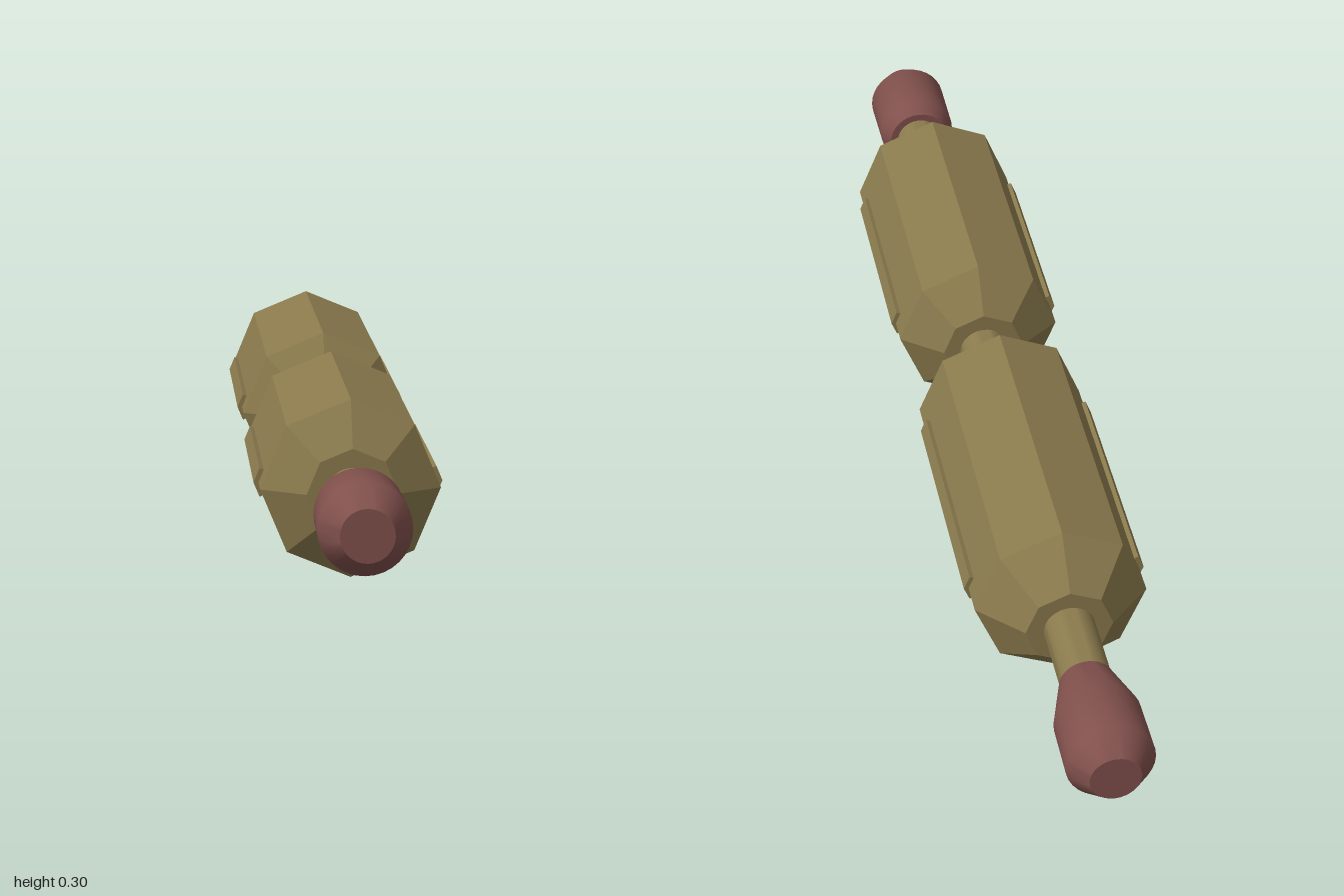
import * as THREE from 'three';
import { toCreasedNormals } from 'three/addons/utils/BufferGeometryUtils.js';

const AXIS_Y = 0.16;   // height of the long axis
const R = 0.142;       // corner radius of the octagonal bodies
const C = Math.SQRT1_2;

// Turned shape along z from [z, radius] pairs, z rising
function turned(profile, sides, crease) {
  const pts = profile.map(([z, r]) => new THREE.Vector2(r, z));
  const geo = new THREE.LatheGeometry(pts, sides).rotateX(Math.PI / 2);
  return toCreasedNormals(geo, crease);
}

// V-shaped strip that wraps the corner pointing along +x, running from z0 to z1
function cornerStrip(z0, z1, inner, outer, halfWidth) {
  const dx = (R - R * C) / (R * C); // slope of the faces beside a corner
  const at = (r, h) => new THREE.Vector2(r - Math.abs(h) * dx, h);
  const lip = (outer - inner) * 0.35;
  const shape = new THREE.Shape([
    at(inner, -halfWidth), at(outer, -halfWidth - lip), at(outer, 0),
    at(outer, halfWidth + lip), at(inner, halfWidth), at(inner, 0),
  ]);
  const geo = new THREE.ExtrudeGeometry(shape, { depth: z1 - z0, bevelEnabled: false });
  return geo.translate(0, 0, z0);
}

export function createModel() {
  const olive = new THREE.MeshStandardMaterial({ color: 0x8a7a4d });
  olive.name = 'olive';
  const maroon = new THREE.MeshStandardMaterial({ color: 0x80504c });
  maroon.name = 'maroon';

  const model = new THREE.Group();
  model.name = 'doubleCharge';
  const assembly = new THREE.Group();
  assembly.name = 'assembly';
  assembly.position.y = AXIS_Y;
  model.add(assembly);

  const add = (name, geo, mat, parent = assembly) => {
    const mesh = new THREE.Mesh(geo, mat);
    mesh.name = name;
    parent.add(mesh);
    return mesh;
  };

  // Central rod
  add('rod', turned([[-0.8, 0], [-0.8, 0.042], [0.83, 0.042], [0.83, 0]], 32, 0.8), olive);

  // Rounded end knobs
  add('frontKnob', turned([[0.808, 0], [0.808, 0.055], [0.835, 0.07], [0.95, 0.071],
    [1, 0.041], [1, 0]], 32, 0.85), maroon);
  add('backKnob', turned([[-1, 0], [-1, 0.041], [-0.962, 0.071], [-0.865, 0.07],
    [-0.78, 0.044], [-0.78, 0]], 32, 0.85), maroon);

  // Octagonal bodies with side rails and underside clasps
  const bodies = [
    { name: 'front', z: [0.11, 0.165, 0.645, 0.692], rail: [0.215, 0.588], clasp: [0.285, 0.525] },
    { name: 'back', z: [-0.65, -0.58, -0.043, 0.008], rail: [-0.525, -0.103], clasp: [-0.44, -0.19] },
  ];
  for (const b of bodies) {
    const [z0, z1, z2, z3] = b.z;
    add(b.name + 'Body', turned([[z0, 0], [z0, 0.072], [z1, R], [z2, R], [z3, 0.072], [z3, 0]],
      8, 0.1), olive);

    // Rails on the left and right corners
    for (const [side, angle] of [['Left', 0], ['Right', Math.PI]]) {
      add(b.name + side + 'Rail', cornerStrip(...b.rail, R - 0.004, 0.15, 0.019), olive)
        .rotation.z = angle;
    }

    // Clasp on the bottom corner: plate, button and four prongs
    const clasp = new THREE.Group();
    clasp.name = b.name + 'Clasp';
    clasp.rotation.z = -Math.PI / 2;
    assembly.add(clasp);
    const [c0, c1] = b.clasp;
    const mid = (c0 + c1) / 2;
    add('claspPlate', cornerStrip(c0, c1, R - 0.004, 0.15, 0.026), olive, clasp);
    add('claspButton', cornerStrip(mid - 0.035, mid + 0.035, 0.149, 0.158, 0.018), maroon, clasp);
    for (const s of [-1, 1]) {
      for (const dz of [-0.043, 0.043]) {
        const prong = add('prong', new THREE.BoxGeometry(0.018, 0.005, 0.012), olive, clasp);
        prong.position.set(0.145, s * 0.026, mid + dz);
        prong.rotation.z = -s * 0.4;
      }
    }
  }
  return model;
}
